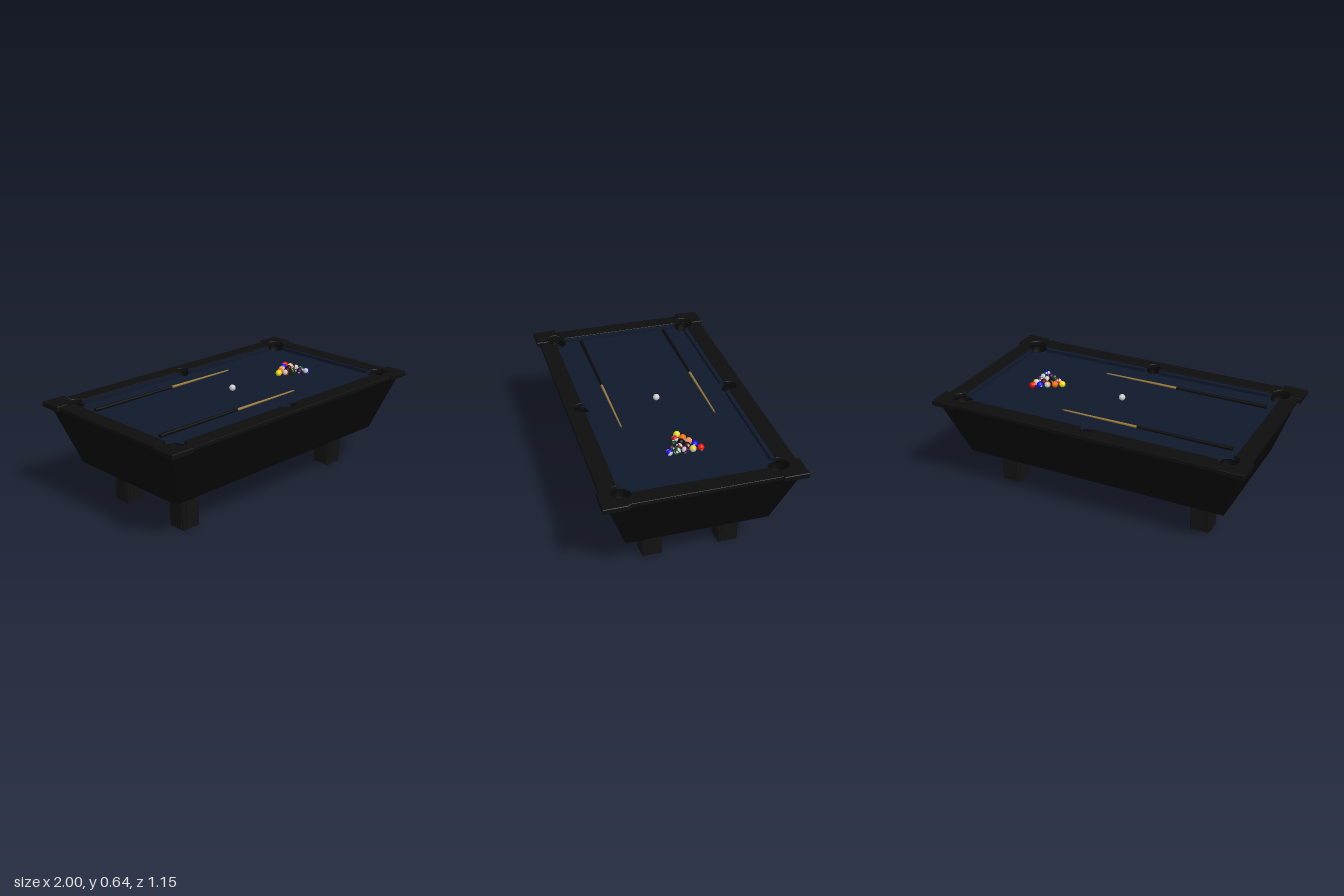
import * as THREE from 'three';

const mat = (color, side = THREE.FrontSide) => new THREE.MeshStandardMaterial({ color, side });
const BODY = mat(0x080808, THREE.DoubleSide), RAIL = mat(0x0e0e0e), LEG = mat(0x121212);
const CLOTH = mat(0x10192b), LINER = mat(0x070707, THREE.DoubleSide);
const BUTT = mat(0x0a0a0a), SHAFT = mat(0x9a7a3c), TIP = mat(0x4a3a22);

const BED_Y = 0.595, BALL_R = 0.02;
const IN_X = 0.88, IN_Z = 0.455; // inner edge of the rails
const CORNER = { x: 0.865, z: 0.445, r: 0.06 }, SIDE = { x: 0, z: 0.47, r: 0.045 };
const QUADS = [[1, 1], [-1, 1], [-1, -1], [1, -1]];

function add(parent, name, geometry, material, x = 0, y = 0, z = 0) {
  const mesh = new THREE.Mesh(geometry, material);
  mesh.name = name;
  mesh.position.set(x, y, z);
  parent.add(mesh);
  return mesh;
}

// Points on a pocket's circle, angles in degrees, [x, z]
function arc(p, from, to, n = 20) {
  const pts = [];
  for (let i = 0; i <= n; i++) {
    const a = THREE.MathUtils.degToRad(from + (to - from) * i / n);
    pts.push([p.x + p.r * Math.cos(a), p.z + p.r * Math.sin(a)]);
  }
  return pts;
}

const flip = (pts, [sx, sz]) => pts.map(([x, z]) => [x * sx, z * sz]);
const toV2 = pts => pts.map(([x, z]) => new THREE.Vector2(x, z));

// Mirror one quarter of an outline into a closed loop
function fourWay(q) {
  return QUADS.flatMap((s, i) => {
    const p = flip(q, s);
    return i % 2 ? p : p.reverse();
  });
}

// Horizontal slab from a plan outline, between two heights
function slab(pts, y0, y1, bevel = 0, hole = null) {
  const shape = new THREE.Shape(toV2(pts));
  if (hole) shape.holes.push(new THREE.Path(toV2(hole)));
  const g = new THREE.ExtrudeGeometry(shape, {
    depth: y1 - y0 - 2 * bevel, bevelEnabled: bevel > 0,
    bevelSize: bevel, bevelThickness: bevel, bevelOffset: -bevel, bevelSegments: 3,
  });
  return g.rotateX(Math.PI / 2).translate(0, y1 - bevel, 0);
}

const rect = (x, z) => [[-x, -z], [x, -z], [x, z], [-x, z]];

// Tapered, open-topped cabinet
function bodyGeometry() {
  const y0 = 0.245, y1 = 0.603;
  const g = new THREE.BoxGeometry(2, y1 - y0, 2);
  const index = Array.from(g.index.array);
  g.setIndex([...index.slice(0, 12), ...index.slice(18)]);
  const p = g.attributes.position;
  for (let i = 0; i < p.count; i++) {
    const top = p.getY(i) > 0;
    p.setXYZ(i, p.getX(i) * (top ? 0.965 : 0.845), top ? y1 : y0, p.getZ(i) * (top ? 0.545 : 0.422));
  }
  g.clearGroups();
  g.computeVertexNormals();
  return g;
}

// Post with stepped corners on four small feet
function makeLeg(x, z) {
  const leg = new THREE.Group();
  leg.name = 'leg';
  leg.position.set(x, 0, z);
  const a = 0.064, b = 0.052, c = 0.042;
  add(leg, 'legPost', slab(fourWay([[0, a], [c, a], [c, b], [b, b], [b, c], [a, c], [a, 0]]), 0.01, 0.25), LEG);
  for (const [sx, sz] of QUADS) {
    add(leg, 'cornerColumn', new THREE.CylinderGeometry(0.012, 0.012, 0.24, 16), LEG, sx * 0.05, 0.13, sz * 0.05);
    add(leg, 'foot', new THREE.CylinderGeometry(0.009, 0.009, 0.012, 16), LEG, sx * 0.048, 0.006, sz * 0.048);
  }
  return leg;
}

// Ball with a coloured body, or white with a coloured band
function makeBall(color, striped, x, z, turn) {
  const ball = new THREE.Group();
  ball.name = 'ball';
  ball.position.set(x, BED_Y + BALL_R, z);
  ball.rotation.set(turn * 1.3, turn * 2.1, turn * 0.7);
  add(ball, 'ballBody', new THREE.SphereGeometry(BALL_R, 24, 16), mat(striped ? 0xcccccc : color));
  if (striped) {
    add(ball, 'stripe', new THREE.SphereGeometry(BALL_R * 1.01, 24, 8, 0, Math.PI * 2, Math.PI * 0.32, Math.PI * 0.36), mat(color));
  }
  if (turn) {
    for (const s of [0, Math.PI]) {
      const spot = add(ball, 'spot', new THREE.SphereGeometry(BALL_R * 1.02, 12, 3, 0, Math.PI * 2, 0, 0.35), mat(0xcccccc));
      spot.rotation.x = Math.PI / 2 + s;
    }
  }
  return ball;
}

// Cue lying along x: dark butt, wooden shaft, tip
function makeCue(z) {
  const cue = new THREE.Group();
  cue.name = 'cue';
  cue.position.set(0, BED_Y + 0.011, z);
  const piece = (name, x0, x1, r0, r1, m) =>
    add(cue, name, new THREE.CylinderGeometry(r1, r0, x1 - x0, 16).rotateZ(-Math.PI / 2), m, (x0 + x1) / 2);
  piece('cueButt', -0.83, -0.24, 0.0115, 0.008, BUTT);
  piece('cueShaft', -0.24, 0.245, 0.008, 0.0045, SHAFT);
  piece('cueTip', 0.245, 0.255, 0.0045, 0.004, TIP);
  return cue;
}

export function createModel() {
  const table = new THREE.Group();
  table.name = 'poolTable';

  add(table, 'cabinet', bodyGeometry(), BODY);

  // Rail frame with pocket cut-outs
  const railHole = fourWay([...arc(SIDE, 90, -19.5, 12), ...arc(CORNER, 170.4, -75.5, 28)]);
  add(table, 'railFrame', slab(rect(0.98, 0.56), 0.598, 0.623, 0.004, railHole), RAIL);

  // Cloth bed, notched around the pockets
  const bed = fourWay([...arc(SIDE, -90, -19.5, 8), ...arc(CORNER, 170.4, 284.5, 16)]);
  add(table, 'clothBed', slab(bed, BED_Y - 0.015, BED_Y), CLOTH);

  // Corner caps, cushions and pocket cups
  for (const s of QUADS) {
    const cap = [[0.85, 0.577], [1, 0.577], [1, 0.43], ...arc(CORNER, -14.5, 104.5)];
    add(table, 'cornerCap', slab(flip(cap, s), 0.597, 0.63, 0.006), RAIL);
    const cushion = [[0.042, IN_Z], [0.806, IN_Z], [0.785, 0.43], [0.055, 0.43]];
    add(table, 'longCushion', slab(flip(cushion, s), BED_Y - 0.002, 0.617), CLOTH);
  }
  for (const s of [1, -1]) {
    const cushion = [[IN_X, -0.387], [IN_X, 0.387], [0.86, 0.365], [0.86, -0.365]];
    add(table, 'endCushion', slab(flip(cushion, [s, 1]), BED_Y - 0.002, 0.617), CLOTH);
  }
  const cup = (p, [sx, sz]) => {
    const pts = [[0.001, 0.535], [p.r * 0.75, 0.535], [p.r, 0.555], [p.r, 0.597]];
    add(table, 'pocketCup', new THREE.LatheGeometry(toV2(pts), 32), LINER, p.x * sx, 0, p.z * sz);
  };
  QUADS.forEach(s => cup(CORNER, s));
  [[1, 1], [1, -1]].forEach(s => cup(SIDE, s));

  // Legs: one of the front pair stands slightly further out
  for (const [sx, sz] of QUADS) {
    table.add(makeLeg(sx * 0.653, sx < 0 && sz > 0 ? 0.27 : sz * 0.231));
  }

  table.add(makeCue(0.284), makeCue(-0.292));

  // Cue ball and the triangular rack, row by row: [colour, striped]
  table.add(makeBall(0xcccccc, false, 0, 0, 0));
  const rows = [
    [[0xf0e000, 0]],
    [[0xff6a00, 0], [0xd01010, 1]],
    [[0xff8a30, 1], [0x050505, 0], [0x06300c, 0]],
    [[0x0a10f0, 0], [0x400810, 0], [0x5a1a10, 1], [0x2a0a40, 0]],
    [[0xf00808, 0], [0xe0d010, 1], [0x401050, 1], [0x0a4a14, 1], [0x1010e0, 1]],
  ];
  let n = 1;
  rows.forEach((row, i) => row.forEach(([color, striped], j) => {
    table.add(makeBall(color, !!striped, 0.42 + i * 0.0405, (j - i / 2) * 0.0465, n++));
  }));

  return table;
}
